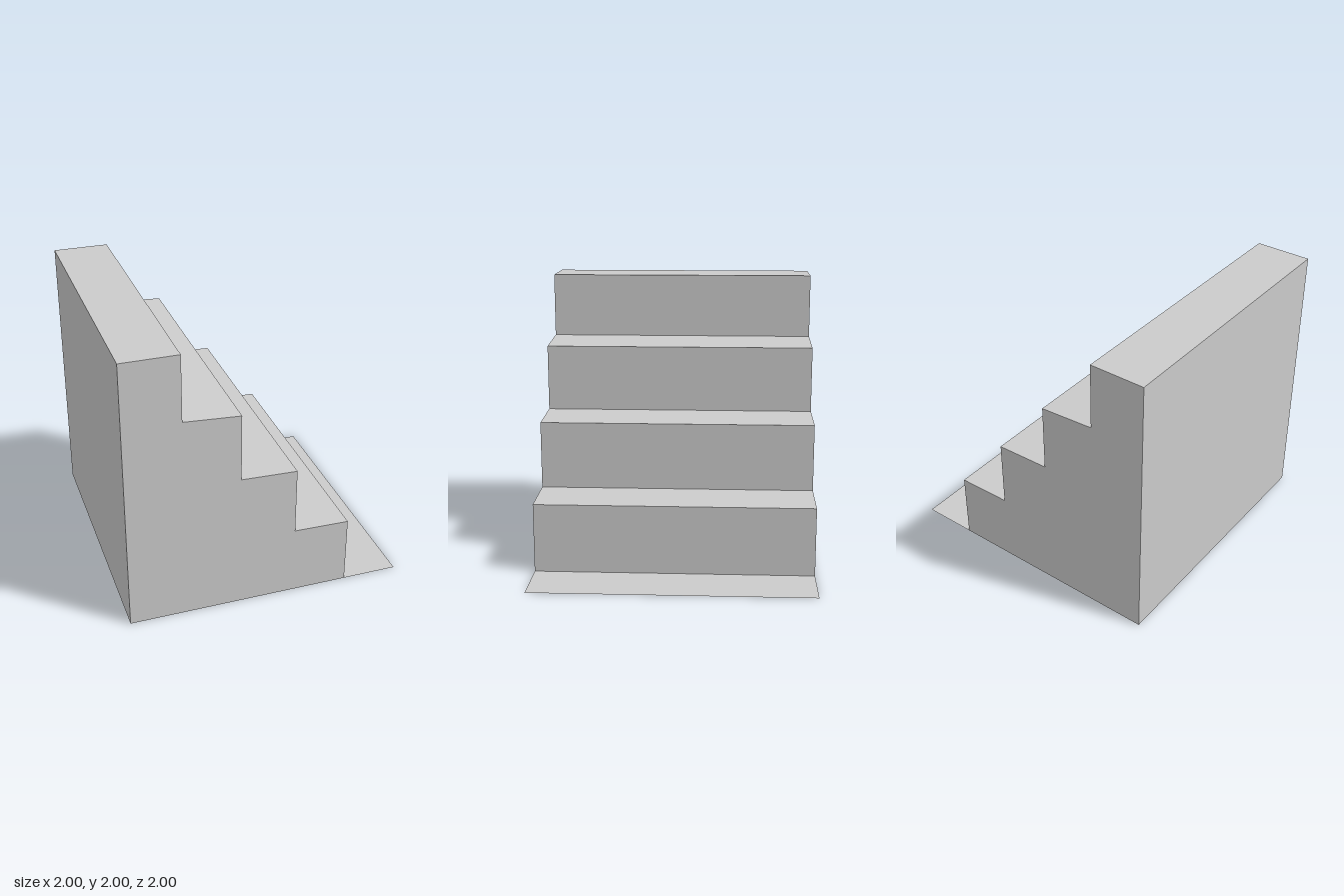
import * as THREE from 'three';

export function createModel() {
  const group = new THREE.Group();
  const material = new THREE.MeshStandardMaterial({ color: 0xcccccc, flatShading: true });

  // Solid flight of steps: side profile with slightly sloping treads
  const stepRun = 0.4, stepRise = 0.5, depth = 2;
  const treadLift = [0, 0.025, 0.013, 0.008]; // extra height at the inner edge of each tread
  const profile = new THREE.Shape();
  profile.moveTo(-1, 0);
  profile.lineTo(0.6, 0);
  for (let i = 3; i >= 0; i--) {
    const outerX = -1 + stepRun * (i + 1);
    const y = 2 - stepRise * i;
    profile.lineTo(outerX, y);
    profile.lineTo(outerX - stepRun, y + treadLift[i]);
  }
  const stepsGeometry = new THREE.ExtrudeGeometry(profile, { depth, bevelEnabled: false });
  stepsGeometry.translate(0, 0, -depth / 2);
  const steps = new THREE.Mesh(stepsGeometry, material);
  steps.name = 'steps';
  group.add(steps);

  // Paper-thin landing in front of the lowest step
  const landingMaterial = material.clone();
  landingMaterial.side = THREE.DoubleSide;
  const landing = new THREE.Mesh(new THREE.PlaneGeometry(stepRun, depth), landingMaterial);
  landing.name = 'landing';
  landing.rotation.x = -Math.PI / 2;
  landing.position.x = 0.8;
  group.add(landing);

  return group;
}
